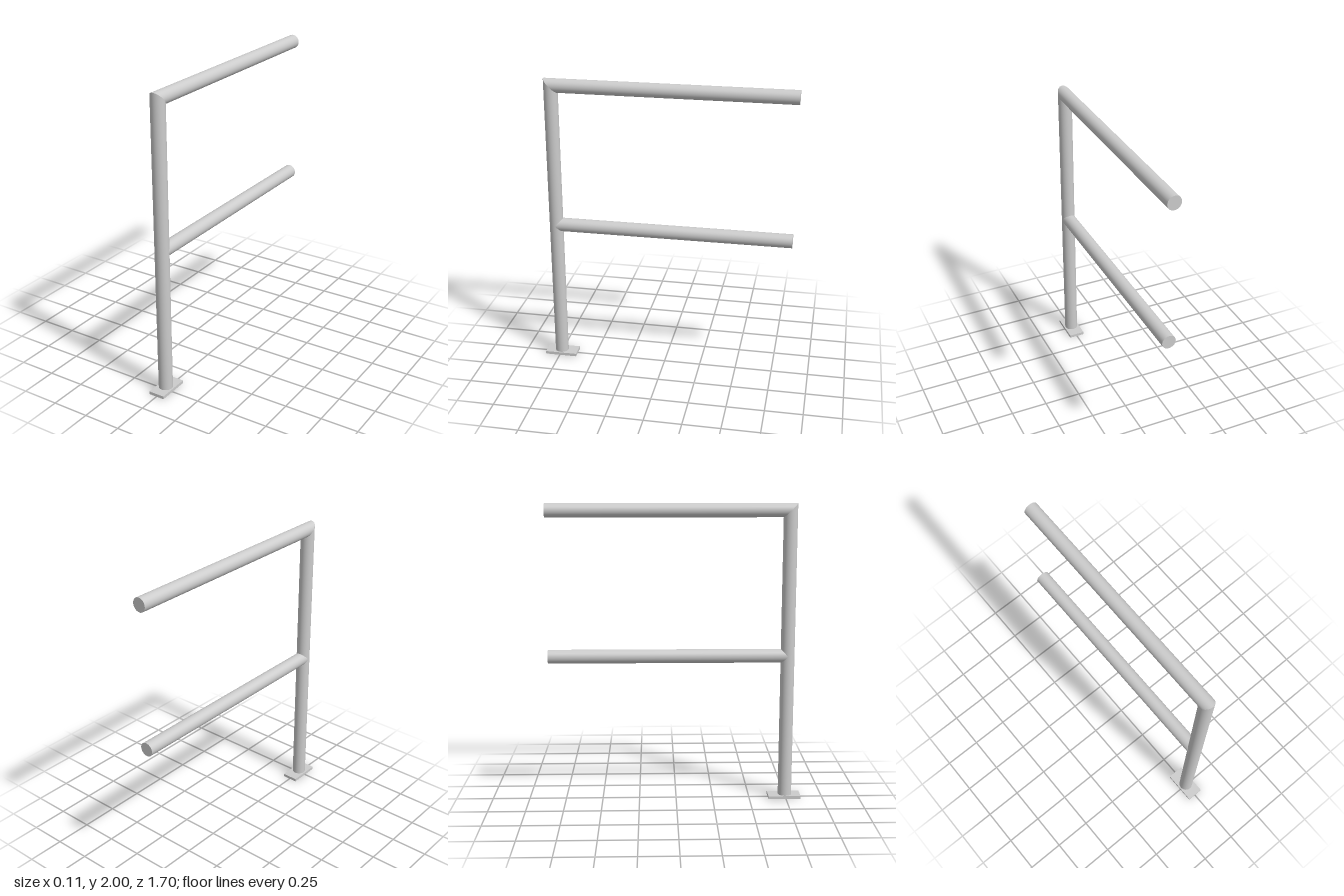
import * as THREE from 'three';

const R = 0.046;            // tube radius
const POST_Z = 0.745;       // post axis
const TOP_Y = 2 - R;        // top rail axis
const MID_Y = 0.99;         // middle rail axis
const BACK_Z = -0.85;       // free end of the rails
const PLATE_H = 0.02;

export function createModel() {
  const group = new THREE.Group();
  const material = new THREE.MeshStandardMaterial({ color: 0xcccccc });

  const add = (name, geometry, x, y, z) => {
    const mesh = new THREE.Mesh(geometry, material);
    mesh.name = name;
    mesh.position.set(x, y, z);
    group.add(mesh);
  };

  // Upright tube whose upper end lies at y = 0; a mitre slants that end by 45 degrees
  const tube = (length, mitred) => {
    const g = new THREE.CylinderGeometry(R, R, length, 48).translate(0, -length / 2, 0);
    const p = g.attributes.position;
    if (mitred) {
      for (let i = 0; i < p.count; i++) {
        if (p.getY(i) > -length / 2) p.setY(i, p.getZ(i));
      }
    }
    return g;
  };

  // Rail: the same tube laid along z, running backwards from the post axis
  const rail = (mitred) => {
    const g = tube(POST_Z - BACK_Z, mitred);
    // mirror the slant so that it meets the post's mitre
    if (mitred) g.rotateY(Math.PI);
    return g.rotateX(Math.PI / 2);
  };

  // Foot plate, offset towards the front of the frame
  add('basePlate', new THREE.BoxGeometry(0.11, PLATE_H, 0.22), 0, PLATE_H / 2, 0.74);

  // Post and top rail joined by a mitred corner
  add('post', tube(TOP_Y - PLATE_H, true), 0, TOP_Y, POST_Z);
  add('topRail', rail(true), 0, TOP_Y, POST_Z);

  // Middle rail butting into the post
  add('middleRail', rail(false), 0, MID_Y, POST_Z);

  return group;
}
